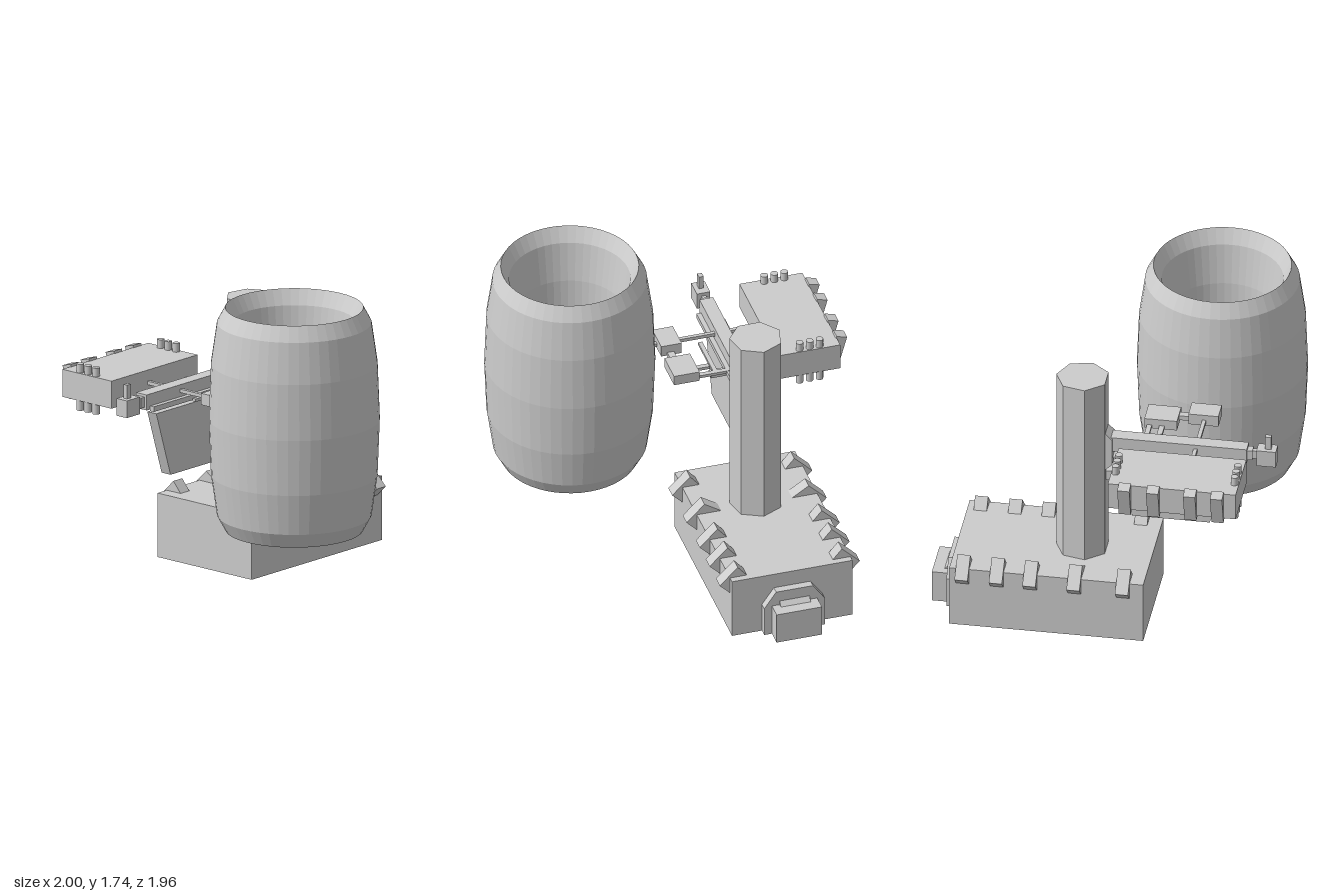
import * as THREE from 'three';

export function createModel() {
  const root = new THREE.Group();
  const grey = new THREE.MeshStandardMaterial({ color: 0xcccccc, flatShading: true });
  grey.name = 'plain grey';

  const add = (name, geometry) => {
    const mesh = new THREE.Mesh(geometry, grey);
    mesh.name = name;
    root.add(mesh);
    return mesh;
  };
  // Box given by its limits on each axis
  const box = (name, x0, x1, y0, y1, z0, z1) =>
    add(name, new THREE.BoxGeometry(x1 - x0, y1 - y0, z1 - z0)
      .translate((x0 + x1) / 2, (y0 + y1) / 2, (z0 + z1) / 2));
  const extrude = (points, depth) => new THREE.ExtrudeGeometry(
    new THREE.Shape(points.map(p => new THREE.Vector2(...p))), { depth, bevelEnabled: false });
  // Outline in x, y pushed along z
  const frontCut = (name, points, z0, z1) => add(name, extrude(points, z1 - z0).translate(0, 0, z0));
  // Outline in z, y pushed along x
  const sideCut = (name, points, x0, x1) =>
    add(name, extrude(points, x1 - x0).rotateY(-Math.PI / 2).translate(x1, 0, 0));

  // Base with its rear hatch
  box('base', -0.725, -0.02, 0, 0.372, -0.845, 0.255);
  frontCut('rearHatchFrame', [[-0.55, 0], [-0.195, 0], [-0.195, 0.18], [-0.265, 0.28],
    [-0.48, 0.28], [-0.55, 0.18]], -0.89, -0.84);
  sideCut('rearHatchSlope', [[-0.88, 0.18], [-0.925, 0.18], [-0.88, 0.225]], -0.46, -0.285);
  box('rearHatch', -0.505, -0.24, 0, 0.19, -0.98, -0.88);

  // Slanted fins along both upper edges of the base
  for (const z of [0.14, -0.135, -0.385, -0.575, -0.77]) {
    const inner = z === -0.135 ? -0.575 : -0.62;
    const outline = [[-0.78, 0.33], [-0.72, 0.27], [inner, 0.37], [-0.675, 0.435]];
    frontCut('rightBaseFin', outline, z - 0.037, z + 0.037);
    frontCut('leftBaseFin', outline.map(([x, y]) => [-0.74 - x, y]), z - 0.037, z + 0.037);
  }

  // Seven sided column
  add('column', new THREE.CylinderGeometry(0.15, 0.15, 1.135, 7)
    .rotateY(Math.PI).translate(-0.375, 0.9325, -0.145));

  // Tall ring drum, hollow and narrowest inside at mid height
  add('drum', new THREE.TorusGeometry(0.387, 0.0925, 12, 48)
    .rotateX(Math.PI / 2).scale(1, 0.645 / 0.0925, 1).translate(0.518, 1.095, 0.5));

  // Central arm with its mount and keel
  sideCut('armMount', [[-0.02, 0.91], [0.03, 0.96], [0.03, 1.12], [-0.02, 1.17]], -0.425, -0.315);
  sideCut('mountPeg', [[-0.02, 0.84], [0.04, 0.84], [0.04, 0.9], [-0.02, 0.9]], -0.4, -0.34);
  sideCut('keelPlate', [[0.14, 0.62], [0.58, 0.62], [0.7, 1.0], [0.03, 1.0]], -0.405, -0.338);
  box('armBeam', -0.41, -0.33, 1.04, 1.13, 0.02, 0.79);
  frontCut('armNose', [[-0.395, 1.055], [-0.345, 1.055], [-0.345, 1.115], [-0.395, 1.115]], 0.78, 0.82);
  box('armNeck', -0.385, -0.358, 1.06, 1.11, 0.8, 0.86);
  box('endBlock', -0.41, -0.332, 1.03, 1.13, 0.845, 0.955);
  box('endPost', -0.385, -0.358, 1.13, 1.21, 0.89, 0.925);
  box('rightRail', -0.442, -0.412, 1.03, 1.06, 0.2, 0.67);
  box('leftRail', -0.33, -0.303, 1.03, 1.06, 0.02, 0.76);

  // Cross bars and linkage boxes
  box('longCrossBar', -0.58, 0.05, 1.085, 1.105, 0.488, 0.51);
  box('rearCrossBar', -0.58, -0.22, 1.012, 1.035, 0.205, 0.255);
  box('upperRearBar', -0.58, -0.13, 1.045, 1.062, 0.18, 0.208);
  box('shortRearBar', -0.225, -0.13, 1.045, 1.062, 0.25, 0.28);
  box('linkBar', -0.255, -0.23, 1.045, 1.062, 0.2, 0.49);
  box('rightStub', -0.512, -0.482, 1.02, 1.05, 0.08, 0.2);
  box('rearLinkBox', -0.14, 0.01, 1.04, 1.1, 0.165, 0.35);
  box('linkConnector', -0.065, -0.025, 1.062, 1.09, 0.34, 0.42);
  box('frontLinkBox', -0.11, 0.01, 1.07, 1.137, 0.41, 0.58);

  // Side pod with rows of pins and tilted fins
  box('sidePod', -0.94, -0.572, 1.01, 1.17, 0.09, 0.815);
  for (const z of [0.115, 0.79])
    for (const x of [-0.826, -0.768, -0.709])
      add('podPin', new THREE.CylinderGeometry(0.021, 0.021, 0.27, 24).translate(x, 1.085, z));
  for (const z of [0.187, 0.35, 0.56, 0.713])
    add('podFin', new THREE.BoxGeometry(0.063, 0.193, 0.068)
      .rotateZ(0.27).translate(-0.943, 1.083, z));

  return root;
}
